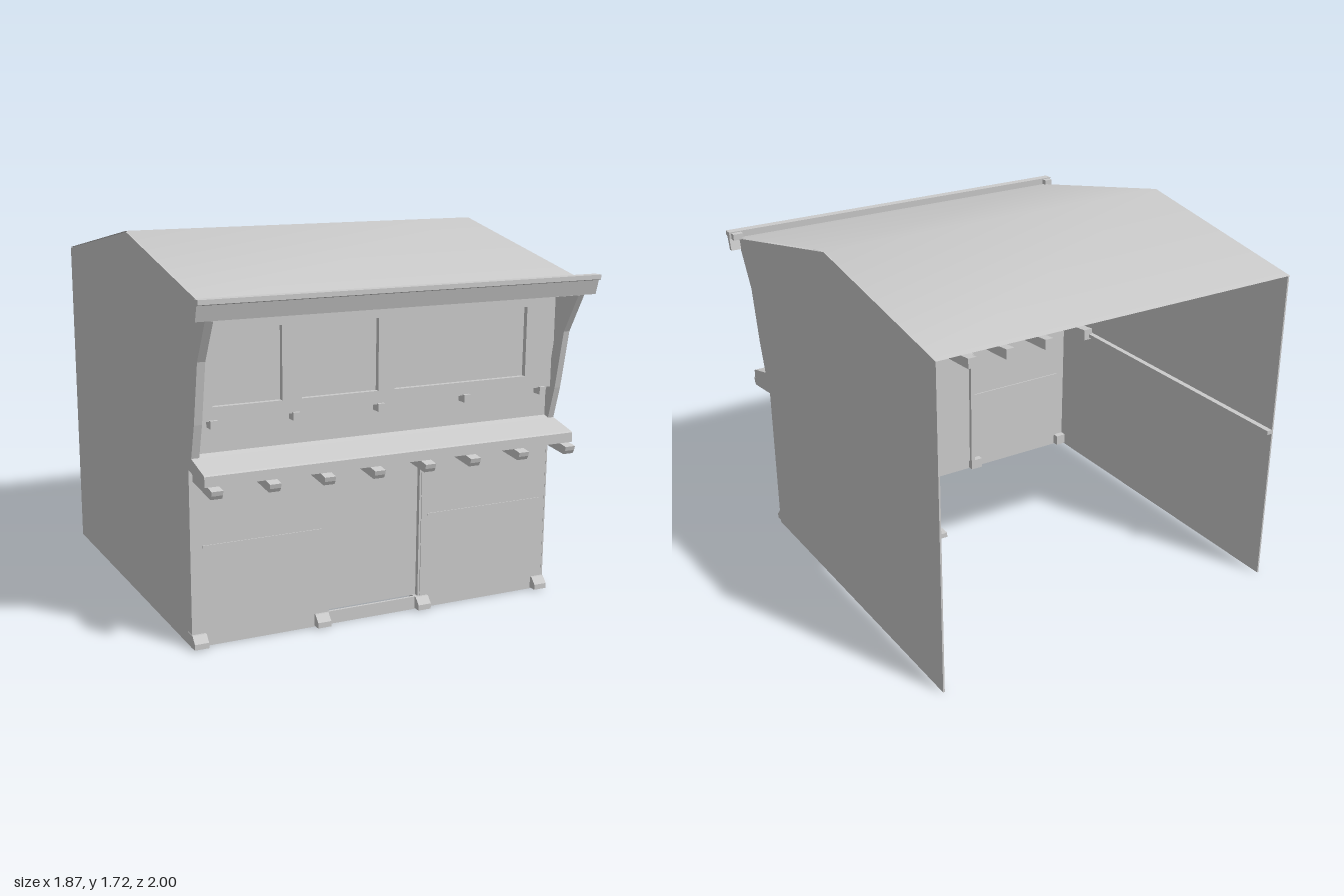
import * as THREE from 'three';

const LEFT = 0.88, RIGHT = -0.895;
const mat = new THREE.MeshStandardMaterial({ color: 0xcccccc, side: THREE.DoubleSide });
// the whole stall is slightly skewed: depth shifts with x
const skew = new THREE.Matrix4().set(1, 0, 0, 0, 0, 1, 0, 0, 0.034, 0, 1, 0, 0, 0, 0, 1);

export function createModel() {
  const root = new THREE.Group();
  root.name = 'marketStall';

  const add = (name, geo) => {
    geo.applyMatrix4(skew);
    if (name !== 'roof') geo.computeVertexNormals();
    const mesh = new THREE.Mesh(geo, mat);
    mesh.name = name;
    root.add(mesh);
    return mesh;
  };
  const toShape = pts => new THREE.Shape(pts.map(p => new THREE.Vector2(p[0], p[1])));
  const rect = (x0, y0, x1, y1) => [[x0, y0], [x1, y0], [x1, y1], [x0, y1]];

  // side profile of [z, y] points, stretched from x0 to x1
  const prism = (name, pts, x0, x1) => {
    const geo = new THREE.ExtrudeGeometry(toShape(pts), { depth: x1 - x0, bevelEnabled: false });
    geo.rotateY(-Math.PI / 2).translate(x1, 0, 0);
    return add(name, geo);
  };
  // box between two corners
  const box = (name, x0, x1, y0, y1, z0, z1) =>
    add(name, new THREE.BoxGeometry(x1 - x0, y1 - y0, z1 - z0)
      .translate((x0 + x1) / 2, (y0 + y1) / 2, (z0 + z1) / 2));
  // upright panel with rectangular openings
  const panel = (name, outline, holes, z0, z1) => {
    const shape = toShape(outline);
    holes.forEach(h => shape.holes.push(toShape(rect(...h).reverse())));
    add(name, new THREE.ExtrudeGeometry(shape, { depth: z1 - z0, bevelEnabled: false })
      .translate(0, 0, z0));
  };

  // side walls
  const frontEdge = [[0.74, 0.85], [0.78, 1.0], [0.83, 1.27], [0.925, 1.45]];
  const side = [[-0.96, 0], [0.705, 0], [0.705, 0.8], ...frontEdge,
    [0.93, 1.5], [-0.03, 1.712], [-0.96, 1.552]];
  prism('leftWall', side, LEFT - 0.008, LEFT);
  prism('rightWall', side, RIGHT, RIGHT + 0.008);

  // posts along the front edges of the side walls
  const post = [...frontEdge, ...frontEdge.map(([z, y]) => [z - 0.06, y]).reverse()];
  prism('leftPost', post, LEFT - 0.03, LEFT);
  prism('rightPost', post, RIGHT, RIGHT + 0.035);

  // roof: two smooth slopes over a ridge
  const roof = new THREE.PlaneGeometry(LEFT - RIGHT, 1, 1, 2);
  const slope = [[1.555, -0.965], [1.717, -0.03], [1.505, 0.94]];
  const pos = roof.attributes.position;
  for (let i = 0; i < pos.count; i++) {
    const [y, z] = slope[Math.floor(i / 2)];
    pos.setXYZ(i, i % 2 ? LEFT : RIGHT, y, z);
  }
  roof.computeVertexNormals();
  add('roof', roof);

  // eave board with end lugs
  prism('eaveBoard', [[0.97, 1.54], [0.97, 1.52], [0.955, 1.515], [0.937, 1.45],
    [0.918, 1.45], [0.93, 1.505], [0.928, 1.54]], -0.94, 0.93);
  box('eaveLug', -0.93, -0.89, 1.505, 1.535, 0.9, 0.935);
  box('eaveLug', 0.87, 0.92, 1.505, 1.535, 0.9, 0.935);
  prism('eaveSoffit', [[0.93, 1.46], [0.93, 1.448], [0.57, 1.425], [0.57, 1.435]], RIGHT + 0.01, LEFT - 0.01);

  // lower front wall with a recessed door
  const doorL = -0.26, doorR = 0.21;
  panel('frontWall', rect(RIGHT, 0, LEFT, 0.77), [[doorL, 0.06, doorR, 0.72]], 0.692, 0.704);
  box('door', doorL, doorR, 0.06, 0.72, 0.67, 0.68);
  for (const x of [doorL, doorR]) box('doorJamb', x - 0.01, x + 0.01, 0.06, 0.72, 0.65, 0.7);
  box('wallSeam', -0.84, -0.29, 0.445, 0.455, 0.686, 0.708);
  box('wallSeam', 0.24, 0.84, 0.445, 0.455, 0.686, 0.708);

  // feet at the base
  for (const x of [-0.865, -0.29, 0.215, 0.845]) {
    prism('foot', [[0.66, 0.005], [0.742, 0.005], [0.742, 0.03], [0.715, 0.06], [0.66, 0.06]],
      x - 0.032, x + 0.032);
  }

  // sloping counter and the joists carrying it
  prism('counter', [[0.885, 0.81], [0.875, 0.815], [0.74, 0.85], [0.63, 0.885],
    [0.63, 0.86], [0.7, 0.795], [0.885, 0.765]], RIGHT, LEFT);
  for (const x of [-0.853, -0.6, -0.353, -0.12, 0.125, 0.35, 0.6, 0.847]) {
    prism('counterJoist', [[0.92, 0.755], [0.915, 0.735], [0.905, 0.718], [0.7, 0.742],
      [0.42, 0.76], [0.42, 0.82], [0.7, 0.79]], x - 0.025, x + 0.025);
  }

  // upper front: backing wall, window panel, panes and latches
  box('upperWall', RIGHT + 0.01, LEFT - 0.01, 0.85, 1.05, 0.7, 0.712);
  const windows = [[-0.8, 1.06, -0.49, 1.38], [-0.4, 1.06, -0.04, 1.38], [0.04, 1.06, 0.71, 1.38]];
  panel('windowPanel', rect(-0.87, 1.0, 0.86, 1.43), windows, 0.712, 0.745);
  for (const [x0, y0, x1, y1] of windows) box('windowPane', x0, x1, y0, y1, 0.714, 0.722);
  box('windowHeader', RIGHT + 0.01, LEFT - 0.01, 1.42, 1.455, 0.712, 0.74);
  for (const x of [-0.8, -0.43, -0.03, 0.4, 0.8]) {
    box('panelLatch', x - 0.016, x + 0.016, 0.97, 1.005, 0.71, 0.76);
  }

  // inside: window sill and rails along the side walls
  box('innerSill', RIGHT + 0.01, LEFT - 0.01, 0.975, 0.985, 0.56, 0.712);
  box('leftRail', LEFT - 0.035, LEFT - 0.006, 0.77, 0.79, -0.96, 0.7);
  box('rightRail', RIGHT + 0.006, RIGHT + 0.035, 0.77, 0.79, -0.96, 0.7);

  return root;
}
